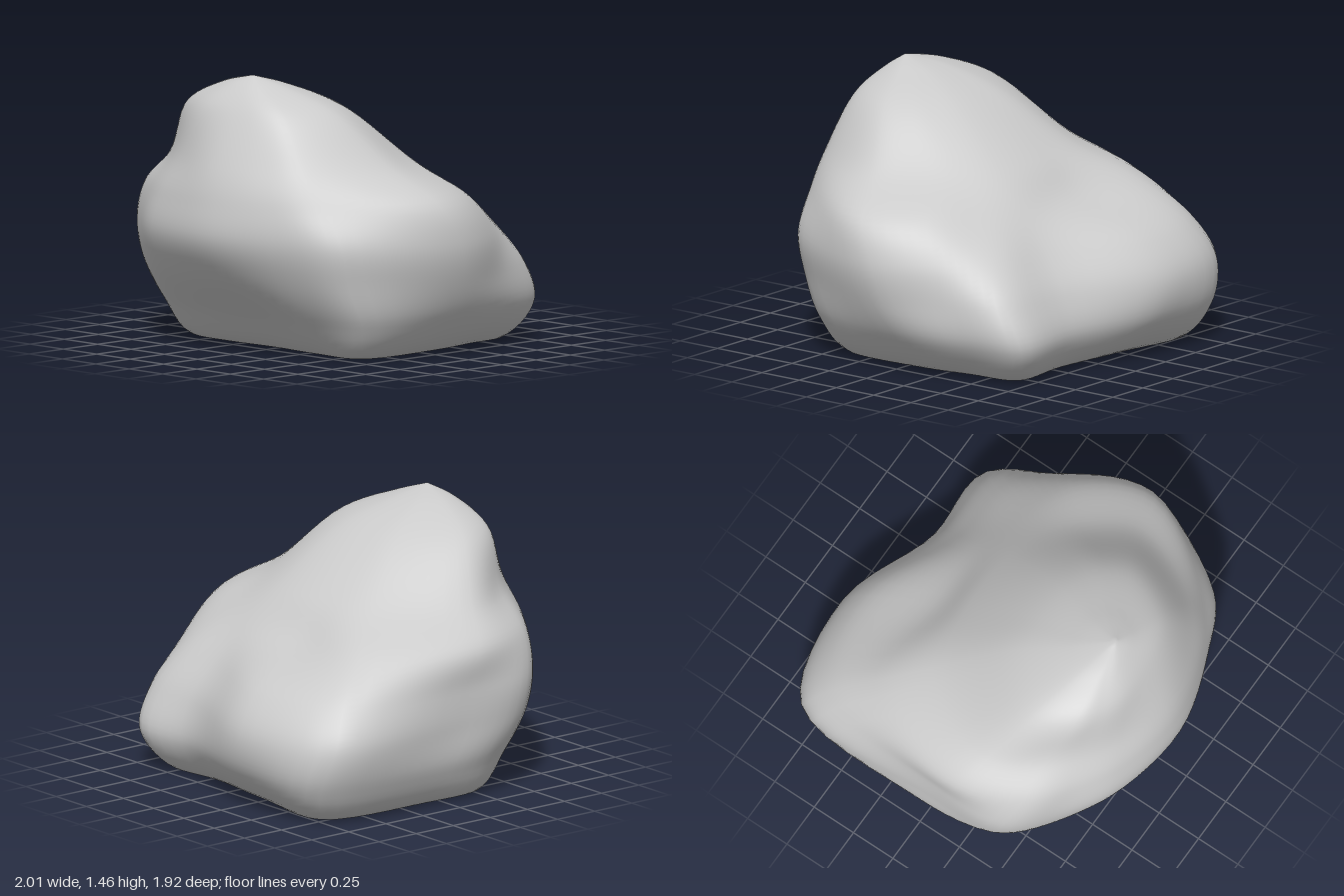
import * as THREE from 'three';
import { mergeVertices } from 'three/addons/utils/BufferGeometryUtils.js';

const AROUND = 78; // samples around each slice
const UP = 60;     // samples from base centre to peak

// Directions of the rock's corners and hollows, in degrees from the front towards +x
const DIRECTIONS = [0, 30, 50, 90, 115, 135, 160, 200, 230, 270, 295, 312, 330];

// Smooth closed outline at height y, given by its reach in each direction
function slice(y, x, z, reach) {
  const points = reach.map((r, i) => {
    const a = THREE.MathUtils.degToRad(DIRECTIONS[i]);
    return new THREE.Vector3(x + r * Math.sin(a), y, z + r * Math.cos(a));
  });
  return new THREE.CatmullRomCurve3(points, true);
}

function rockGeometry() {
  const crest = [.36, .37, .38, .39, .36, .33, .31, .32, .4, .54, .52, .46, .41];
  const slices = [
    // flat base and undercut front
    slice(0, 0, -.1, [.52, .62, .8, .64, .66, .78, .58, .62, .96, .82, .88, .78, .62]),
    slice(.2, 0, -.1, [.74, .84, .97, .87, .88, .97, .74, .87, 1.13, .96, 1, .96, .84]),
    // widest body, with two corners and a hollow at the back
    slice(.42, 0, 0, [.85, .88, .97, .97, .94, .99, .79, 1.01, 1.22, .98, 1.05, .99, .92]),
    slice(.62, 0, .05, [.91, .9, .96, 1, .93, .87, .7, .92, 1.13, .98, 1.05, .98, .95]),
    // shoulders and long back slope
    slice(.82, 0, .15, [.8, .79, .81, .94, .86, .72, .62, .64, .95, .98, .94, .86, .82]),
    slice(1, 0, .25, [.65, .64, .65, .67, .6, .56, .53, .55, .68, .79, .72, .68, .65]),
    // crest, shrinking towards the peak
    slice(1.28, 0, .4, crest),
    slice(1.4, -.04, .5, crest.map((r) => r * .43)),
  ];
  const baseCentre = new THREE.Vector3(-.05, .03, -.1);
  const peak = new THREE.Vector3(-.03, 1.455, .57);

  // Smooth ribs from the base centre to the peak, kept above the ground
  const position = [], index = [];
  for (let j = 0; j < AROUND; j++) {
    const rib = new THREE.CatmullRomCurve3(
      [baseCentre, ...slices.map((s) => s.getPoint(j / AROUND)), peak]);
    for (const p of rib.getPoints(UP)) position.push(p.x, Math.max(p.y, 0), p.z);
  }

  // Skin between neighbouring ribs, single triangles at both ends
  for (let j = 0; j < AROUND; j++) {
    for (let i = 0; i < UP; i++) {
      const a = j * (UP + 1) + i;
      const b = ((j + 1) % AROUND) * (UP + 1) + i;
      if (i > 0) index.push(a, b, b + 1);
      if (i < UP - 1) index.push(a, b + 1, a + 1);
    }
  }
  const geometry = new THREE.BufferGeometry();
  geometry.setAttribute('position', new THREE.Float32BufferAttribute(position, 3));
  geometry.setIndex(index);
  const skin = mergeVertices(geometry);
  skin.computeVertexNormals();
  return skin;
}

export function createModel() {
  const group = new THREE.Group();
  group.name = 'boulder';
  const rock = new THREE.Mesh(rockGeometry(), new THREE.MeshStandardMaterial({ color: 0xcccccc }));
  rock.name = 'rock';
  group.add(rock);
  return group;
}
